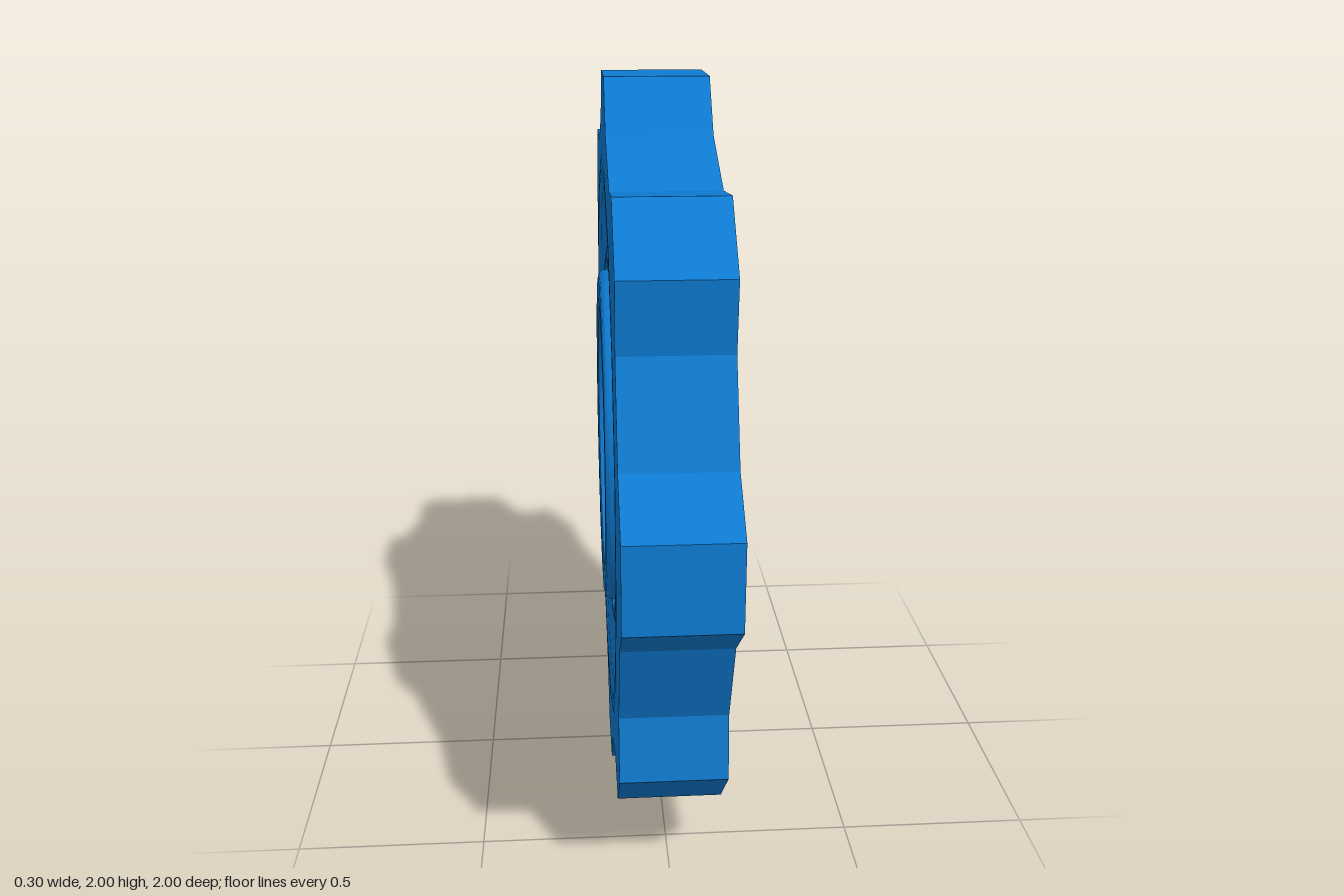
import * as THREE from 'three';
import { toCreasedNormals } from 'three/addons/utils/BufferGeometryUtils.js';

const TEETH = 8, SIDES = 16, HALF = 0.135;
const K = 1 / Math.cos(Math.PI / SIDES); // flat radius to corner radius

export function createModel() {
  const group = new THREE.Group();
  const material = new THREE.MeshStandardMaterial({ color: 0x0e7bd2 });

  // Toothed rim: tip and valley corners repeated around the wheel
  const points = [];
  for (let i = 0; i < TEETH; i++) {
    for (const [deg, r] of [[-14.2, 0.893], [-6.2, 1.006], [6.2, 1.006], [14.2, 0.893]]) {
      const a = (i / TEETH) * Math.PI * 2 + THREE.MathUtils.degToRad(deg);
      points.push(new THREE.Vector2(r * Math.cos(a), r * Math.sin(a)));
    }
  }
  const outline = new THREE.Shape(points);
  const opening = [];
  for (let i = 0; i < SIDES; i++) {
    const a = -((i + 0.5) / SIDES) * Math.PI * 2;
    opening.push(new THREE.Vector2(0.77 * K * Math.cos(a), 0.77 * K * Math.sin(a)));
  }
  outline.holes.push(new THREE.Path(opening));
  const rimGeometry = new THREE.ExtrudeGeometry(outline, { depth: HALF * 2, bevelEnabled: false });
  rimGeometry.translate(0, 0, -HALF).rotateY(Math.PI / 2);
  const rim = new THREE.Mesh(rimGeometry, material);
  rim.name = 'toothedRim';
  group.add(rim);

  // Ringed face: radius and height, from the rim to the centre recess
  const profile = [
    [0.77, HALF], [0.76, 0.138], [0.735, 0.138], [0.69, 0.132], [0.66, 0.119], [0.64, 0.115],
    [0.59, 0.115], [0.55, 0.119], [0.51, 0.128], [0.495, 0.128], [0.485, 0.115], [0.462, 0.115],
    [0.459, 0.142], [0.453, 0.149], [0.443, 0.152], [0.385, 0.152], [0.375, 0.148], [0.368, 0.128],
    [0.24, 0.128], [0.237, 0.131], [0.13, 0.131], [0.122, 0.127], [0.115, 0.095], [0, 0.095],
  ].map(([r, h]) => new THREE.Vector2(r * K, h));
  const faceGeometry = toCreasedNormals(
    new THREE.LatheGeometry(profile, SIDES, Math.PI / SIDES), 0.7);
  for (const side of [1, -1]) {
    const face = new THREE.Mesh(faceGeometry, material);
    face.rotation.z = -side * Math.PI / 2;
    face.name = side > 0 ? 'leftRingedFace' : 'rightRingedFace';
    group.add(face);
  }

  group.position.y = 1;
  const model = new THREE.Group();
  model.name = 'gearWheel';
  group.name = 'wheel';
  model.add(group);
  return model;
}
